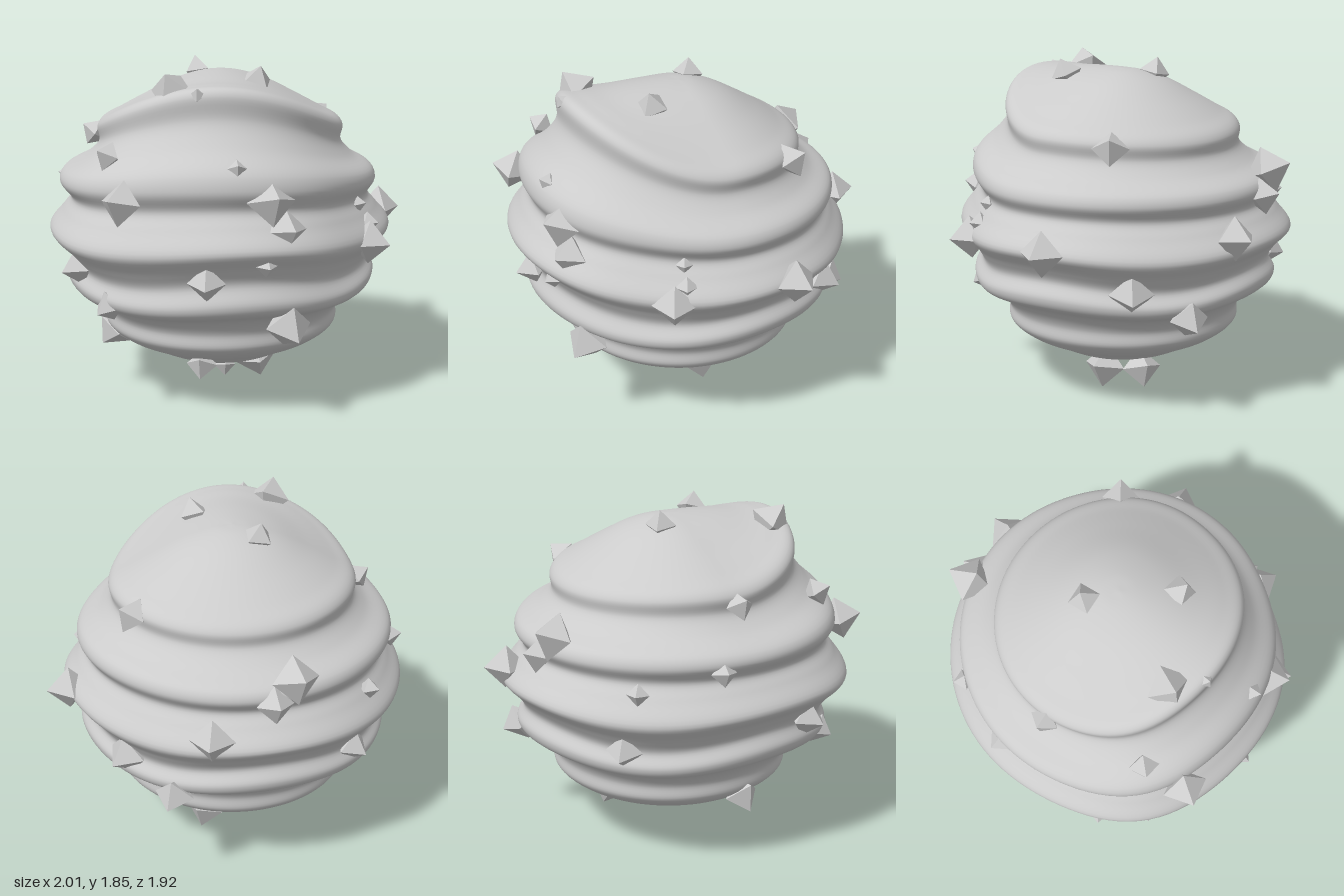
import * as THREE from 'three';
import { mergeVertices } from 'three/addons/utils/BufferGeometryUtils.js';

// Body rings from bottom to top: radius, height, extra height towards the front
const RINGS = [
  [0, 0.16, 0], [0.28, 0.2, 0], [0.47, 0.285, 0], [0.58, 0.34, 0], [0.65, 0.405, 0],
  [0.655, 0.49, 0], [0.72, 0.58, 0], [0.84, 0.65, 0], [0.86, 0.71, 0], [0.825, 0.79, 0.02],
  [0.87, 0.87, 0.03], [0.945, 0.96, 0.04], [0.87, 1.06, 0.05], [0.82, 1.13, 0.06],
  [0.86, 1.21, 0.08], [0.84, 1.27, 0.11], [0.73, 1.34, 0.16], [0.665, 1.42, 0.2],
  [0.675, 1.5, 0.24], [0.65, 1.54, 0.24], [0.56, 1.59, 0.2], [0.43, 1.66, 0.13],
  [0.25, 1.75, 0.05], [0.1, 1.795, 0.01], [0, 1.805, 0],
];

// Bulges and dents: angle from +x towards +z, width, amount, height, spread
const WOBBLE = [
  [147, 24, 0.065, 1.15, 0.5], [180, 35, 0.03, 1.25, 0.1],
  [46, 22, -0.045, 0.97, 0.38], [-42, 24, -0.02, 0.97, 0.38],
];

// Crystals: x, y, z, size
const TOP_CRYSTALS = [
  [-0.39, 1.75, 0.44, 0.12], [-0.28, 1.75, 0.59, 0.045], [-0.16, 1.78, -0.14, 0.085],
  [0.09, 1.77, 0.28, 0.09], [0.56, 1.48, -0.28, 0.1], [-0.73, 1.43, 0.47, 0.08],
  [-0.74, 1.46, -0.09, 0.08],
];
const FRONT_CRYSTALS = [
  [-0.69, 1.23, 0.69, 0.12], [-0.12, 1.41, 0.81, 0.05], [0.05, 1.24, 0.83, 0.13],
  [0.13, 1.09, 0.84, 0.11], [0.61, 1.12, 0.46, 0.045], [0.66, 1.02, 0.48, 0.06],
  [0.65, 0.93, 0.55, 0.12], [0.88, 0.97, -0.06, 0.125], [0.02, 0.92, 0.88, 0.06],
  [-0.28, 0.83, 0.83, 0.1], [-0.87, 0.8, 0.28, 0.11], [-0.74, 0.64, 0.5, 0.09],
  [0.16, 0.56, 0.77, 0.13],
];
const BACK_CRYSTALS = [
  [-0.16, 1.3, -0.84, 0.13], [-0.05, 1.18, -0.86, 0.1], [0.28, 1.02, -0.86, 0.12],
  [0.44, 0.6, -0.68, 0.11], [0.64, 0.75, -0.45, 0.12], [-0.63, 1.08, -0.66, 0.06],
  [-0.87, 1.18, -0.3, 0.07], [-0.54, 0.75, -0.68, 0.1],
];
const BOTTOM_CRYSTALS = [
  [-0.66, 0.35, 0.02, 0.11], [0.15, 0.13, 0, 0.125], [0.17, 0.17, -0.25, 0.11],
  [-0.24, 0.26, 0.44, 0.085], [-0.08, 0.18, 0.25, 0.06],
];

const CENTRE = new THREE.Vector3(-0.055, 0.97, 0);
const material = new THREE.MeshStandardMaterial({ color: 0xcccccc });
const crystalMaterial = new THREE.MeshStandardMaterial({ color: 0xcccccc, flatShading: true });

// Smooth bump of height 1 at zero
const bump = (d, width) => Math.exp(-((d / width) ** 2));

// Radius factor at an angle and height
function wobble(angle, y) {
  let factor = 1;
  for (const [at, width, amount, height, spread] of WOBBLE) {
    const d = ((angle - at + 540) % 360) - 180;
    factor += amount * bump(d, width) * bump(y - height, spread);
  }
  return factor;
}

// Folded round body: a lathe whose rings rise towards the front
function makeBody() {
  const curve = new THREE.CatmullRomCurve3(RINGS.map((r) => new THREE.Vector3(...r)));
  const profile = curve.getPoints(144);
  let geo = new THREE.LatheGeometry(
    profile.map((p) => new THREE.Vector2(Math.max(0, p.x), p.y)), 112, Math.PI);
  const pos = geo.attributes.position;
  for (let i = 0; i < pos.count; i++) {
    const x = pos.getX(i), y = pos.getY(i), z = pos.getZ(i);
    const angle = Math.atan2(z, x);
    // The rise is strongest slightly to the right of the front
    const c = x || z ? Math.cos(angle - THREE.MathUtils.degToRad(101)) : 0;
    const lift = profile[i % profile.length].z;
    const rise = (c > 0 ? 1 : -0.12) * lift * c * c;
    // The middle folds sag on the diagonals
    const sag = 0.045 * Math.sin(2 * angle) ** 2 * bump(y - 0.8, 0.24);
    const f = wobble(THREE.MathUtils.radToDeg(angle), y);
    // The cap is a little narrower from front to back
    const narrow = 1 - 0.045 * THREE.MathUtils.smoothstep(y, 1.25, 1.5);
    pos.setXYZ(i, x * f + CENTRE.x, y + rise - sag, z * f * narrow);
  }
  // Merge the seam so the shading stays smooth
  geo.deleteAttribute('uv');
  geo.deleteAttribute('normal');
  geo = mergeVertices(geo, 1e-5);
  geo.computeVertexNormals();
  const body = new THREE.Mesh(geo, material);
  body.name = 'foldedBody';
  return body;
}

// Octahedral crystals half sunk in the surface, one corner pointing outwards
function makeCrystals(name, list) {
  const group = new THREE.Group();
  group.name = name;
  list.forEach(([x, y, z, size], i) => {
    const crystal = new THREE.Mesh(new THREE.OctahedronGeometry(size), crystalMaterial);
    crystal.name = 'crystal' + (i + 1);
    crystal.position.set(x, y, z);
    crystal.lookAt(crystal.position.clone().multiplyScalar(2).sub(CENTRE));
    group.add(crystal);
  });
  return group;
}

export function createModel() {
  const model = new THREE.Group();
  model.name = 'crystalStuddedBall';
  model.add(
    makeBody(),
    makeCrystals('topCrystals', TOP_CRYSTALS),
    makeCrystals('frontCrystals', FRONT_CRYSTALS),
    makeCrystals('backCrystals', BACK_CRYSTALS),
    makeCrystals('bottomCrystals', BOTTOM_CRYSTALS),
  );
  return model;
}
